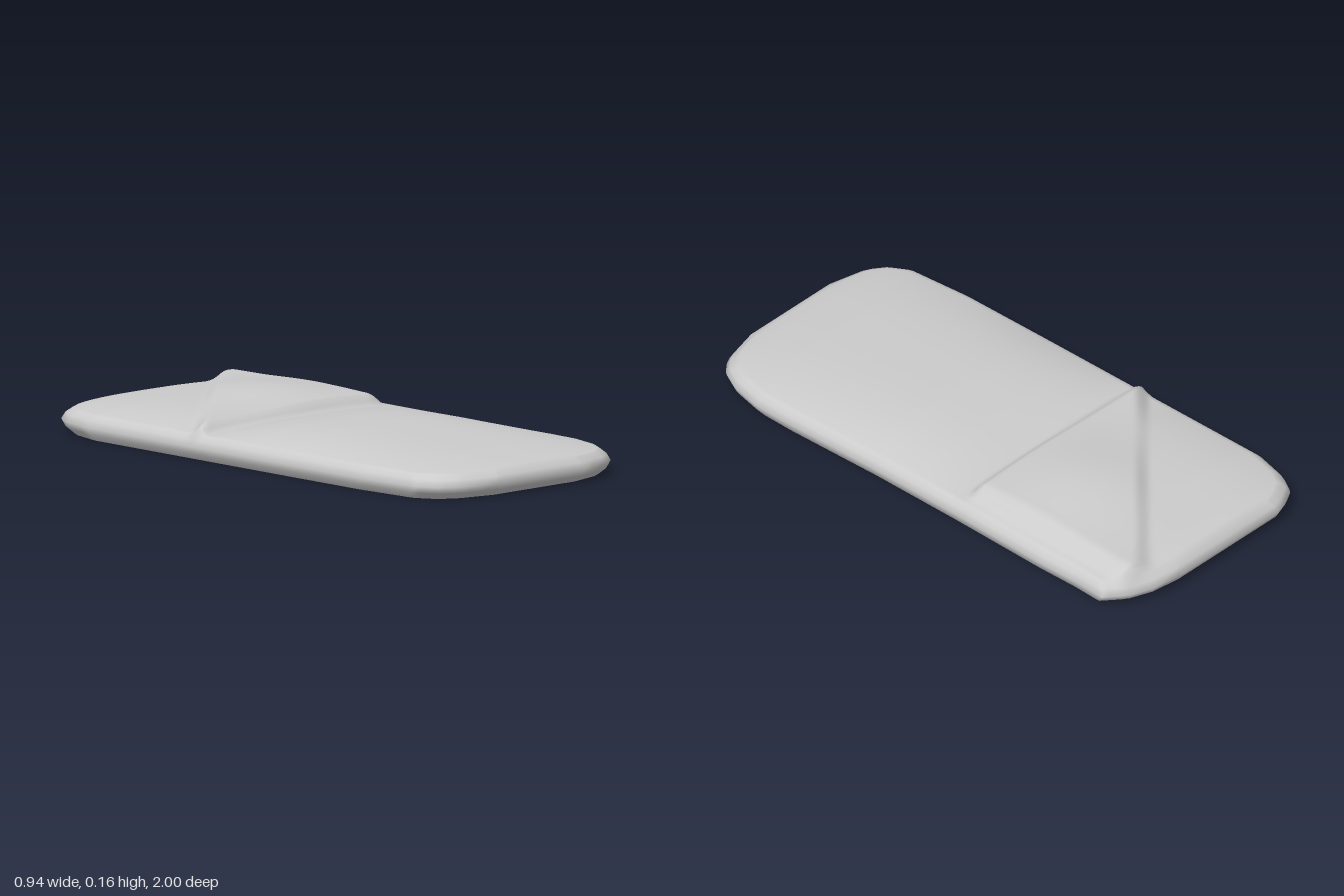
import * as THREE from 'three';

const ROWS = 128, COLS = 56;

// Outline: [z, left x, right x]
const OUTLINE = [
  [-1, -0.3, 0.2], [-0.985, -0.345, 0.31], [-0.95, -0.41, 0.4], [-0.89, -0.445, 0.47], [-0.77, -0.475, 0.465],
  [-0.6, -0.475, 0.467], [-0.2, -0.475, 0.458], [0.2, -0.475, 0.455], [0.6, -0.473, 0.463],
  [0.73, -0.462, 0.46], [0.85, -0.452, 0.432], [0.92, -0.41, 0.395], [0.965, -0.35, 0.34], [1, -0.2, 0.2],
];

// Height along the middle: [z, y]
const SPINE = [
  [-1, 0.085], [-0.9, 0.105], [-0.7, 0.118], [-0.4, 0.122], [-0.25, 0.102], [-0.19, 0.1], [-0.1, 0.115],
  [0.02, 0.128], [0.2, 0.134], [0.45, 0.126], [0.75, 0.114], [0.9, 0.1], [1, 0.083],
];

function lookup(table, t, col) {
  let i = 1;
  while (i < table.length - 1 && table[i][0] < t) i++;
  const [a, b] = [table[i - 1], table[i]];
  const k = THREE.MathUtils.clamp((t - a[0]) / (b[0] - a[0]), 0, 1);
  return a[col] + (b[col] - a[col]) * k;
}

const step = THREE.MathUtils.smoothstep;

// Cushioned sheet with a triangular fold raised above it
function height(x, z, u) {
  const crown = 1 - Math.pow(Math.abs(u), 3);
  const base = 0.085 + (lookup(SPINE, z, 1) - 0.085) * crown;
  const diagonal = (x + 0.42) * 0.68 + (z + 0.26) * 0.73;
  const mask = step(diagonal, -0.025, 0.035) * step(-z, 0.195, 0.232)
    * (1 - step(x, 0.345, 0.42)) * step(z, -0.965, -0.9);
  const bulge = Math.exp(-((x - 0.1) ** 2) / 0.06 - ((z + 0.48) ** 2) / 0.06);
  const fold = 0.128 + 0.032 * bulge;
  return base + (Math.max(fold, base) - base) * mask;
}

function sheetGeometry() {
  const pos = [], flat = [], index = [];

  // Top surface
  for (let i = 0; i <= ROWS; i++) {
    const z = -1 + (2 * i) / ROWS;
    const l = lookup(OUTLINE, z, 1), r = lookup(OUTLINE, z, 2);
    for (let j = 0; j <= COLS; j++) {
      const u = -1 + (2 * j) / COLS;
      const x = l + ((r - l) * j) / COLS;
      flat.push([x, z]);
      pos.push(x * 0.945, height(x * 0.945, z * 0.965, u), z * 0.965);
    }
  }
  const at = (i, j) => i * (COLS + 1) + j;
  for (let i = 0; i < ROWS; i++) {
    for (let j = 0; j < COLS; j++) {
      const a = at(i, j), b = at(i, j + 1), c = at(i + 1, j), d = at(i + 1, j + 1);
      index.push(a, c, b, b, c, d);
    }
  }

  // Rounded skirt hung from the edge, open underneath
  const edge = [];
  for (let i = 0; i < ROWS; i++) edge.push(at(i, 0));
  for (let j = 0; j < COLS; j++) edge.push(at(ROWS, j));
  for (let i = ROWS; i > 0; i--) edge.push(at(i, COLS));
  for (let j = COLS; j > 0; j--) edge.push(at(0, j));
  let upper = edge;
  for (const [sx, sz, y] of [[0.98, 0.987, 0.068], [1, 1, 0.045], [0.985, 0.988, 0.022], [0.95, 0.96, 0]]) {
    const lower = edge.map((e) => {
      pos.push(flat[e][0] * sx, y, flat[e][1] * sz);
      return pos.length / 3 - 1;
    });
    for (let k = 0; k < edge.length; k++) {
      const n = (k + 1) % edge.length;
      index.push(upper[k], lower[k], upper[n], upper[n], lower[k], lower[n]);
    }
    upper = lower;
  }

  const geo = new THREE.BufferGeometry();
  geo.setAttribute('position', new THREE.Float32BufferAttribute(pos, 3));
  geo.setIndex(index);
  geo.computeVertexNormals();
  return geo;
}

export function createModel() {
  const group = new THREE.Group();
  group.name = 'foldedBlanket';
  const material = new THREE.MeshStandardMaterial({ color: 0xcccccc, side: THREE.DoubleSide });
  const blanket = new THREE.Mesh(sheetGeometry(), material);
  blanket.name = 'blanket';
  group.add(blanket);
  return group;
}
